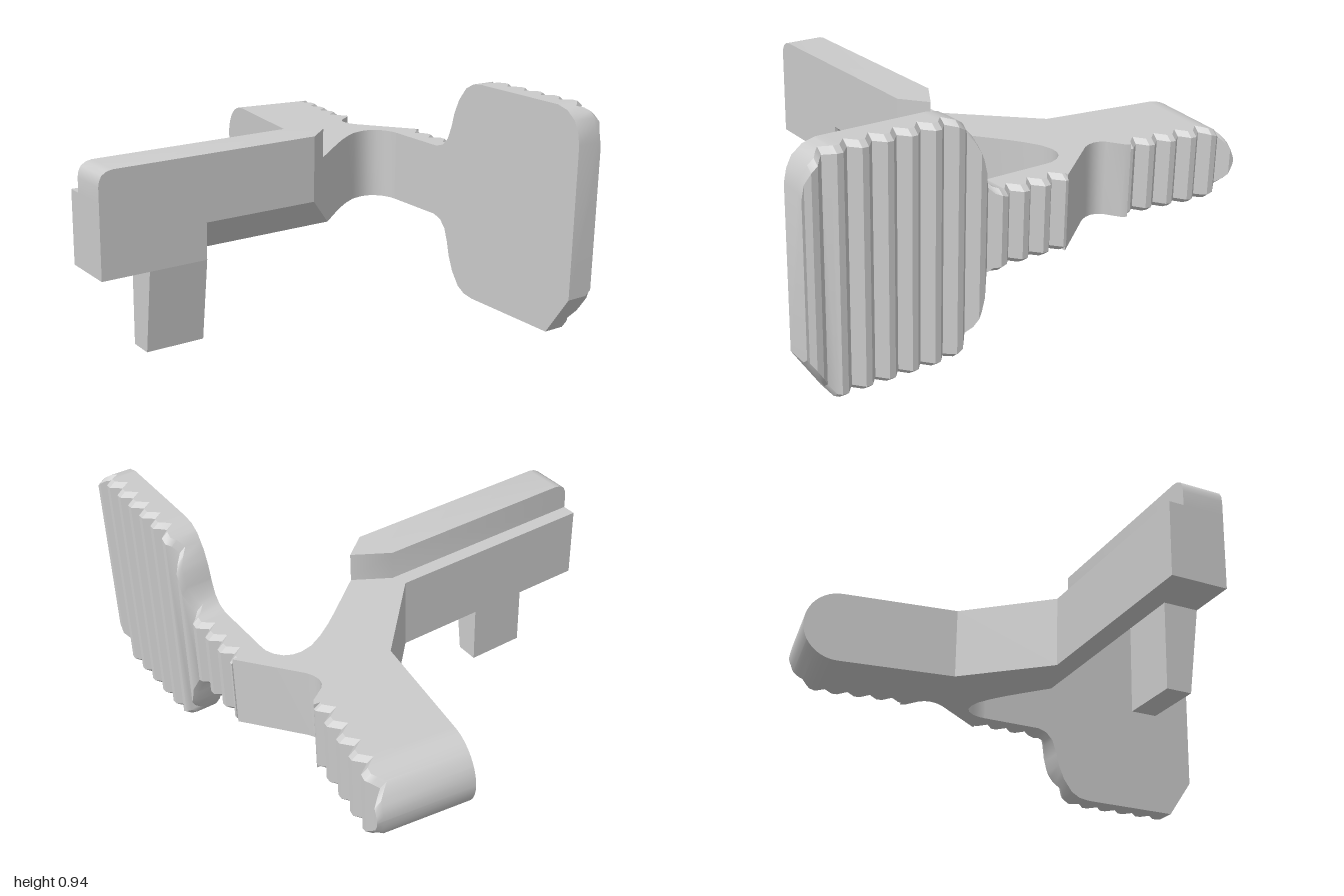
import * as THREE from 'three';
import { toCreasedNormals } from 'three/addons/utils/BufferGeometryUtils.js';

const BOTTOM = 0.34, TOP = 0.64, MID = 0.49;

function addMesh(group, name, geometry) {
  const material = new THREE.MeshStandardMaterial({ color: 0xcccccc });
  const mesh = new THREE.Mesh(toCreasedNormals(geometry, 0.55), material);
  mesh.name = name;
  group.add(mesh);
}

const toShape = (points) => new THREE.Shape(points.map(([a, b]) => new THREE.Vector2(a, b)));

// Plan outline of [x, z] points raised from y0 to y1
function raisePlan(points, y0, y1) {
  const geo = new THREE.ExtrudeGeometry(toShape(points.map(([x, z]) => [x, -z])), { depth: y1 - y0, bevelEnabled: false });
  return geo.rotateX(-Math.PI / 2).translate(0, y0, 0);
}

// Side section of [z, y] points swept from x0 to x1
function sweepSide(points, x0, x1) {
  const geo = new THREE.ExtrudeGeometry(toShape(points.map(([z, y]) => [-z, y])), { depth: x1 - x0, bevelEnabled: false });
  return geo.rotateY(Math.PI / 2).translate(x0, 0, 0);
}

// Closed skin over sections ordered towards +z, each counterclockwise seen from +z
function loft(sections) {
  const n = sections[0].length, index = [];
  for (let i = 0; i < sections.length - 1; i++) {
    for (let j = 0; j < n; j++) {
      const a = i * n + j, b = i * n + (j + 1) % n;
      index.push(a, b, b + n, a, b + n, a + n);
    }
  }
  const last = (sections.length - 1) * n;
  for (let j = 1; j < n - 1; j++) {
    index.push(0, j + 1, j, last, last + j, last + j + 1);
  }
  const geo = new THREE.BufferGeometry();
  geo.setAttribute('position', new THREE.Float32BufferAttribute(sections.flat(2), 3));
  geo.setIndex(index);
  return geo;
}

// Section with the front edges eased: w0 back, w1 front, place() maps (w, y) to 3D
function easedSection(w0, w1, lo, hi, place) {
  const e = Math.min(0.02, (hi - lo) * 0.2);
  return [[w0, lo], [w1 - 0.025, lo], [w1, lo + e], [w1, hi - e], [w1 - 0.025, hi], [w0, hi]]
    .map(([w, y]) => place(w, y));
}

// Grip teeth: breakpoints along the length, and depth below the crest
const CREST = 0.012, DEPTH = 0.04;
function teethBreaks(start, pitch, count) {
  const out = [];
  for (let k = 0; k < count; k++) {
    const c = start + k * pitch;
    out.push(c - CREST, c + CREST);
    if (k < count - 1) out.push(c + pitch / 2);
  }
  return out;
}
function toothDepth(t, start, pitch) {
  const d = Math.abs(t - start - Math.round((t - start) / pitch) * pitch);
  return Math.max(0, (d - CREST) / (pitch / 2 - CREST)) * DEPTH;
}

function interpolate(table, t) {
  for (let i = 1; i < table.length; i++) {
    const [a, va] = table[i - 1], [b, vb] = table[i];
    if (t <= b) return va + (vb - va) * Math.max(0, (t - a) / (b - a));
  }
  return table[table.length - 1][1];
}

const tidy = (values, min, max) => [...new Set(values.map((v) => +v.toFixed(4)))]
  .filter((v) => v >= min && v <= max).sort((a, b) => a - b);

// Thumb pad with its narrow neck
function padGeometry() {
  const start = -0.07, pitch = 0.0935, count = 12;
  const flare = [[-0.07, 0.15], [0.2, 0.15], [0.24, 0.163], [0.27, 0.195], [0.29, 0.25], [0.305, 0.31],
    [0.33, 0.37], [0.37, 0.425], [0.41, 0.448], [0.46, 0.455]];
  const upper = [...flare, [0.88, 0.455], [0.93, 0.442], [0.97, 0.41], [0.99, 0.37], [1, 0.32]];
  const lower = [...flare, [0.89, 0.455], [1, 0.29]];
  const zs = tidy([start, 1, ...teethBreaks(start, pitch, count),
    ...upper.map((p) => p[0]), ...lower.map((p) => p[0])], start, 1);
  return loft(zs.map((z) => {
    const depth = Math.min(toothDepth(z, start, pitch), z > 0.96 ? 0.015 : DEPTH);
    return easedSection(0.715, 0.845 - depth, MID - interpolate(lower, z), MID + interpolate(upper, z),
      (x, y) => [x, y, z]);
  }));
}

// Rear arm, laid out by distance u along it and w across it
const armPoint = (u, w) => [0.34 + 0.1414 * u + 0.99 * w, -0.37 - 0.99 * u + 0.1414 * w];
function armGeometry() {
  const start = 0.146, pitch = 0.0966, end = 0.636, r = 0.15;
  const round = Array.from({ length: 13 }, (_, i) => end - r + r * Math.sin(i / 12 * Math.PI / 2));
  const us = tidy([start, ...teethBreaks(start, pitch, 6), ...round], start, end).reverse();
  return loft(us.map((u) => {
    const s = Math.max(0, (u - end + r) / r);
    const h = Math.max(0.003, r * Math.sqrt(Math.max(0, 1 - s * s)));
    return easedSection(0, 0.38 - toothDepth(u, start, pitch), MID - h, MID + h, (w, y) => {
      const [x, z] = armPoint(u, w);
      return [x, y, z];
    });
  }));
}

export function createModel() {
  const group = new THREE.Group();
  group.name = 'lever';

  // Flat forked body joining bar, rear arm and pad
  addMesh(group, 'forkBody', raisePlan([
    [-0.85, -0.05], [0.04, -0.05], [0.34, -0.37], armPoint(0.146, 0), armPoint(0.146, 0.38),
    [0.725, -0.44], [0.665, -0.4], [0.65, -0.38], [0.645, -0.355], [0.65, -0.325], [0.665, -0.295],
    [0.84, -0.07], [0.715, -0.07], [0.713, -0.095], [0.7, -0.13], [0.675, -0.16], [0.645, -0.176],
    [0.61, -0.18], [0.56, -0.17], [0.5, -0.138], [0.44, -0.097], [0.38, -0.05], [0.27, 0.04], [-0.85, 0.04],
  ], BOTTOM, TOP));

  addMesh(group, 'rearArm', armGeometry());
  addMesh(group, 'thumbPad', padGeometry());

  // Front of the bar, undercut below and mitred at the fork
  const front = sweepSide([[0.04, BOTTOM], [0.18, MID], [0.18, TOP], [0.04, TOP]], -0.85, 0.1);
  const fp = front.attributes.position;
  for (let i = 0; i < fp.count; i++) {
    if (fp.getX(i) > 0) fp.setX(i, 0.1 + (0.18 - fp.getZ(i)) * 0.17 / 0.14);
  }
  addMesh(group, 'barFront', front);
  addMesh(group, 'barHeel', sweepSide([[0.04, BOTTOM], [0.18, BOTTOM], [0.18, MID], [0.04, BOTTOM + 0.001]], -0.85, -0.4));

  // Raised rib with a rounded outer corner and a pointed inner end
  const ribShape = toShape([[-0.85, TOP], [0.1, TOP], [0.1, 0.76], [-0.79, 0.76],
    [-0.815, 0.755], [-0.836, 0.742], [-0.846, 0.723], [-0.85, 0.7]]);
  const rib = new THREE.ExtrudeGeometry(ribShape, { depth: 0.17, steps: 2, bevelEnabled: false }).translate(0, 0, 0.01);
  const rp = rib.attributes.position;
  for (let i = 0; i < rp.count; i++) {
    if (rp.getX(i) < 0) continue;
    const z = rp.getZ(i);
    rp.setX(i, z < 0.05 ? 0.06 : z < 0.14 ? 0.203 : 0.1);
  }
  addMesh(group, 'topRib', rib);

  // Tapered leg
  addMesh(group, 'leg', sweepSide([[0.04, 0], [0.14, 0], [0.18, BOTTOM], [0.04, BOTTOM]], -0.65, -0.4));

  return group;
}
